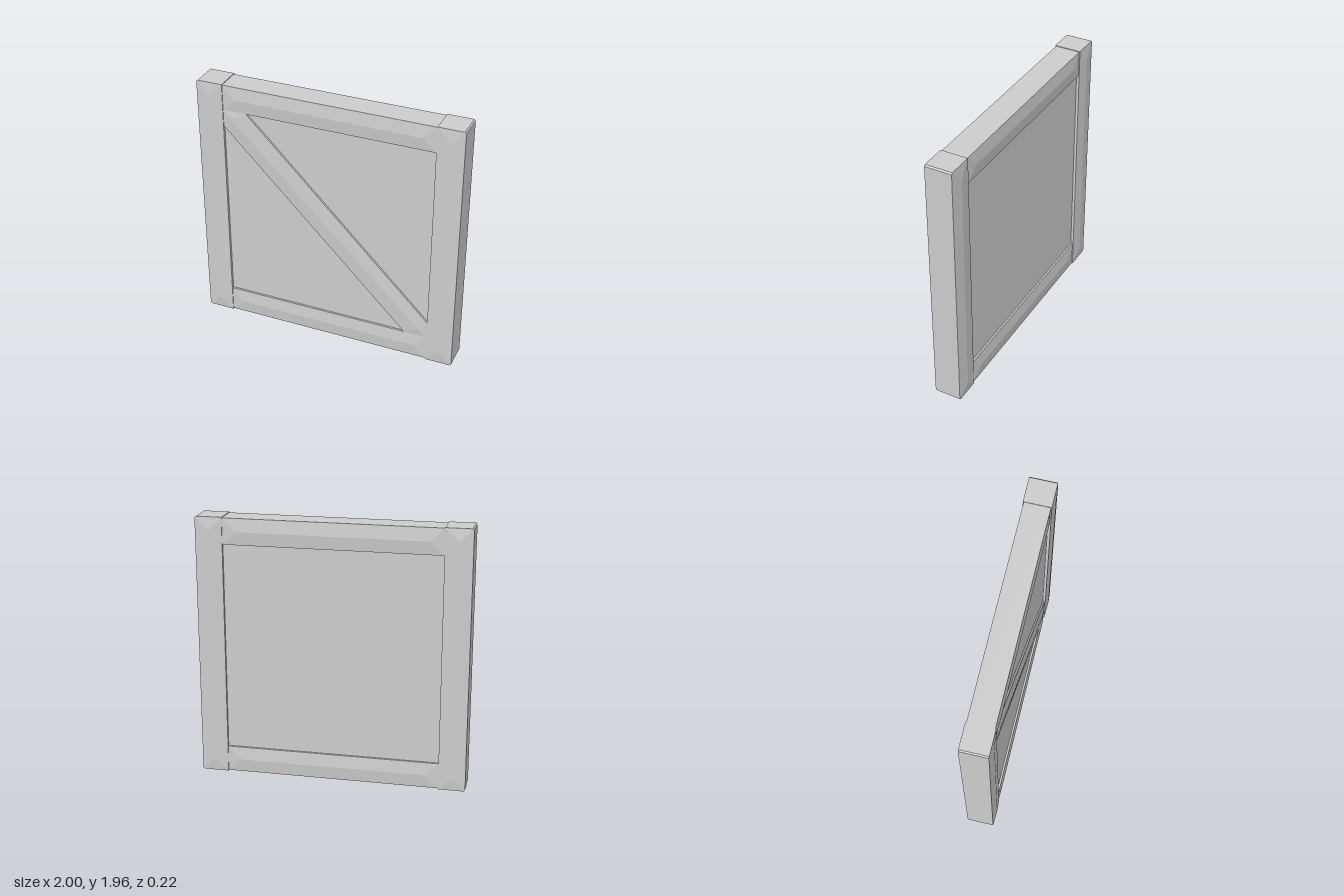
import * as THREE from 'three';
import { ConvexGeometry } from 'three/addons/geometries/ConvexGeometry.js';

const material = new THREE.MeshStandardMaterial({ color: 0xcccccc, flatShading: true });

function addMesh(group, name, geometry) {
  const mesh = new THREE.Mesh(geometry, material);
  mesh.name = name;
  group.add(mesh);
  return mesh;
}

// Plank: an outline at the edge depth with a hipped ridge on the front,
// and either the same ridge or a flat face on the back.
function plank(outline, ridge, edge, crown, backEdge = -edge, backCrown = -crown) {
  const points = [];
  for (const [x, y] of outline) {
    points.push(new THREE.Vector3(x, y, edge), new THREE.Vector3(x, y, backEdge));
  }
  for (const [x, y] of ridge) {
    points.push(new THREE.Vector3(x, y, crown));
    if (backCrown !== null) points.push(new THREE.Vector3(x, y, backCrown));
  }
  return new ConvexGeometry(points);
}

export function createModel() {
  const model = new THREE.Group();
  model.name = 'framedPanel';
  const H = 1.96, W = 0.2, inner = 0.8, c = 0.01;

  // Upright posts with small chamfers at their outer corners
  for (const s of [1, -1]) {
    const outline = [
      [s * inner, 0], [s * (1 - c), 0], [s, c],
      [s, H - c], [s * (1 - c), H], [s * inner, H],
    ];
    const ridge = [[s * 0.9, 0.1], [s * 0.9, H - 0.1]];
    addMesh(model, s > 0 ? 'leftPost' : 'rightPost', plank(outline, ridge, 0.101, 0.112));
  }

  // Horizontal rails between the posts, slightly thinner
  for (const [name, y0, y1] of [['bottomRail', 0.005, W], ['topRail', H - W, H - 0.005]]) {
    const mid = (y0 + y1) / 2;
    const outline = [[-inner, y0], [inner, y0], [inner, y1], [-inner, y1]];
    addMesh(model, name, plank(outline, [[-0.7, mid], [0.7, mid]], 0.095, 0.105));
  }

  // Recessed panel
  const panel = addMesh(model, 'panel', new THREE.BoxGeometry(2 * inner, H - 2 * W, 0.16));
  panel.position.y = H / 2;

  // Diagonal brace across the front, cut to the opening
  const top = H - W;
  const outline = [
    [-inner, top], [-0.62, top], [inner, 0.33],
    [inner, W], [0.62, W], [-inner, H - 0.33],
  ];
  addMesh(model, 'brace', plank(outline, [[-0.73, 1.7], [0.73, H - 1.7]], 0.095, 0.105, 0, null));

  return model;
}
